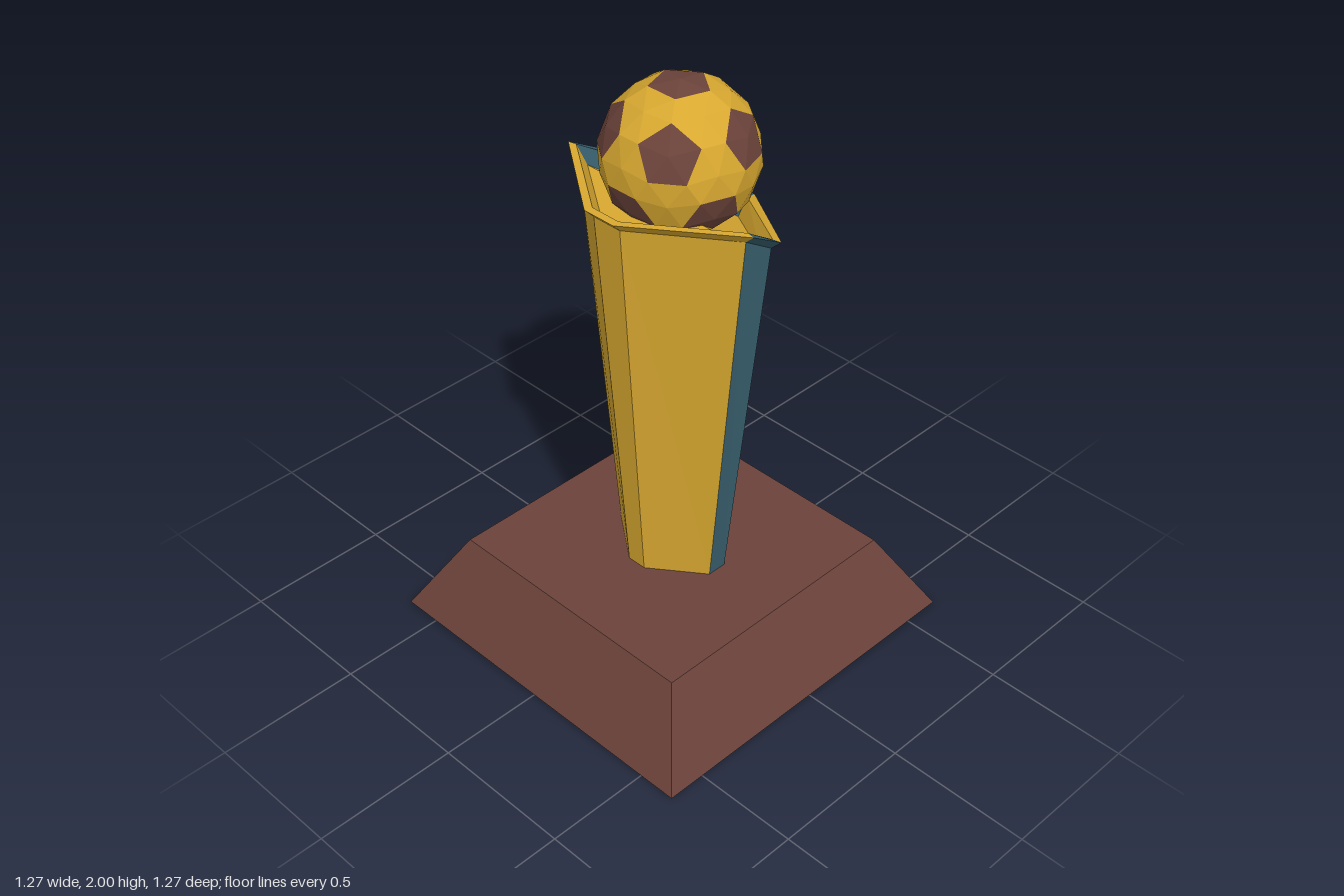
import * as THREE from 'three';

const gold = new THREE.MeshStandardMaterial({ color: 0xd8a830 });
gold.name = 'gold';
const brown = new THREE.MeshStandardMaterial({ color: 0x6b433a });
brown.name = 'brown';
const teal = new THREE.MeshStandardMaterial({ color: 0x38606f });
teal.name = 'teal';

// Faceted mesh from a list of Vector3 corners, three per triangle
function facetMesh(name, points, material) {
  const geometry = new THREE.BufferGeometry().setFromPoints(points);
  geometry.computeVertexNormals();
  const mesh = new THREE.Mesh(geometry, material);
  mesh.name = name;
  return mesh;
}

function quad(list, a, b, c, d) {
  list.push(a, b, c, a, c, d);
}

// Long diamond with cut corners: eight points running from +x towards +z.
// xo, zo: outer extents; xc, zc: half widths of the cut corners;
// heights: y at the right end, right of centre, left of centre, left end
function ring(xo, zo, xc, zc, heights) {
  const half = [[xo, zc], [xc, zo], [-xc, zo], [-xo, zc]];
  const front = half.map(([x, z], i) => new THREE.Vector3(x, heights[i], z));
  const back = front.map((p) => new THREE.Vector3(p.x, p.y, -p.z)).reverse();
  return [...front, ...back];
}

function createBase() {
  const r = Math.SQRT2;
  const geometry = new THREE.CylinderGeometry(0.48 * r, 0.635 * r, 0.28, 4)
    .rotateY(Math.PI / 4).translate(0, 0.14, 0).toNonIndexed();
  geometry.computeVertexNormals();
  const mesh = new THREE.Mesh(geometry, brown);
  mesh.name = 'base';
  return mesh;
}

function createColumn() {
  const group = new THREE.Group();
  group.name = 'column';
  const rimY = [1.53, 1.61, 1.68, 1.68];
  const lower = (d) => rimY.map((y) => y - d);
  const rings = [
    ring(0.165, 0.21, 0.035, 0.035, [0.28, 0.28, 0.28, 0.28]), // foot
    ring(0.268, 0.355, 0.055, 0.055, lower(0.033)),            // under the lip
    ring(0.3, 0.39, 0.06, 0.06, rimY),                         // lip
    ring(0.272, 0.36, 0.054, 0.055, rimY),                     // inside of lip
    ring(0.24, 0.32, 0.046, 0.048, lower(0.06)),               // floor edge
  ];
  const panels = [], strips = [], lipPanels = [], lipStrips = [];
  for (let r = 0; r < rings.length - 1; r++) {
    for (let i = 0; i < 8; i++) {
      const j = (i + 1) % 8;
      const isStrip = i === 1 || i === 5 || i === 7;
      const list = r === 0 ? (isStrip ? strips : panels) : (isStrip ? lipStrips : lipPanels);
      quad(list, rings[r][i], rings[r + 1][i], rings[r + 1][j], rings[r][j]);
    }
  }
  // Bent floor of the cup, in three bays
  const f = rings[4];
  const floor = [];
  for (let i = 0; i < 3; i++) quad(floor, f[7 - i], f[6 - i], f[i + 1], f[i]);
  group.add(
    facetMesh('columnPanels', panels, gold),
    facetMesh('columnStrips', strips, teal),
    facetMesh('lipPanels', lipPanels, gold),
    facetMesh('lipStrips', lipStrips, teal),
    facetMesh('cupFloor', floor, gold),
  );
  return group;
}

function createBall() {
  const R = 0.25, cut = 0.372, bulge = 0.985;

  // Twelve pentagon centres: two poles and two staggered rings of five
  const centres = [new THREE.Vector3(0, 1, 0), new THREE.Vector3(0, -1, 0)];
  for (let k = 0; k < 10; k++) {
    const a = (k * Math.PI) / 5, s = k % 2 ? -1 : 1;
    centres.push(new THREE.Vector3(2 * Math.cos(a), s, 2 * Math.sin(a)).normalize());
  }
  const near = (a, b) => a.clone().lerp(b, cut).normalize().multiplyScalar(R);
  const adjacent = (a, b) => a.dot(b) > 0.3;
  const cross = new THREE.Vector3();
  const tri = (list, a, b, c) => {
    const outward = cross.crossVectors(b, c).dot(a) > 0;
    list.push(a, ...(outward ? [b, c] : [c, b]));
  };

  const pentagons = [], hexagons = [];
  for (let i = 0; i < 12; i++) for (let j = i + 1; j < 12; j++) for (let k = j + 1; k < 12; k++) {
    const t = [centres[i], centres[j], centres[k]];
    if (!adjacent(t[0], t[1]) || !adjacent(t[1], t[2]) || !adjacent(t[0], t[2])) continue;
    const middle = t[0].clone().add(t[1]).add(t[2]).setLength(R * bulge);
    for (let n = 0; n < 3; n++) {
      const a = t[n], b = t[(n + 1) % 3], c = t[(n + 2) % 3];
      tri(pentagons, a.clone().multiplyScalar(R * bulge), near(a, b), near(a, c));
      tri(hexagons, middle, near(a, b), near(a, c));
      tri(hexagons, middle, near(a, b), near(b, a));
    }
  }
  const group = new THREE.Group();
  group.name = 'ball';
  group.add(facetMesh('ballPentagons', pentagons, brown), facetMesh('ballHexagons', hexagons, gold));
  group.position.set(0.042, 2 - R * bulge, -0.008);
  return group;
}

export function createModel() {
  const model = new THREE.Group();
  model.name = 'trophy';
  model.add(createBase(), createColumn(), createBall());
  return model;
}
